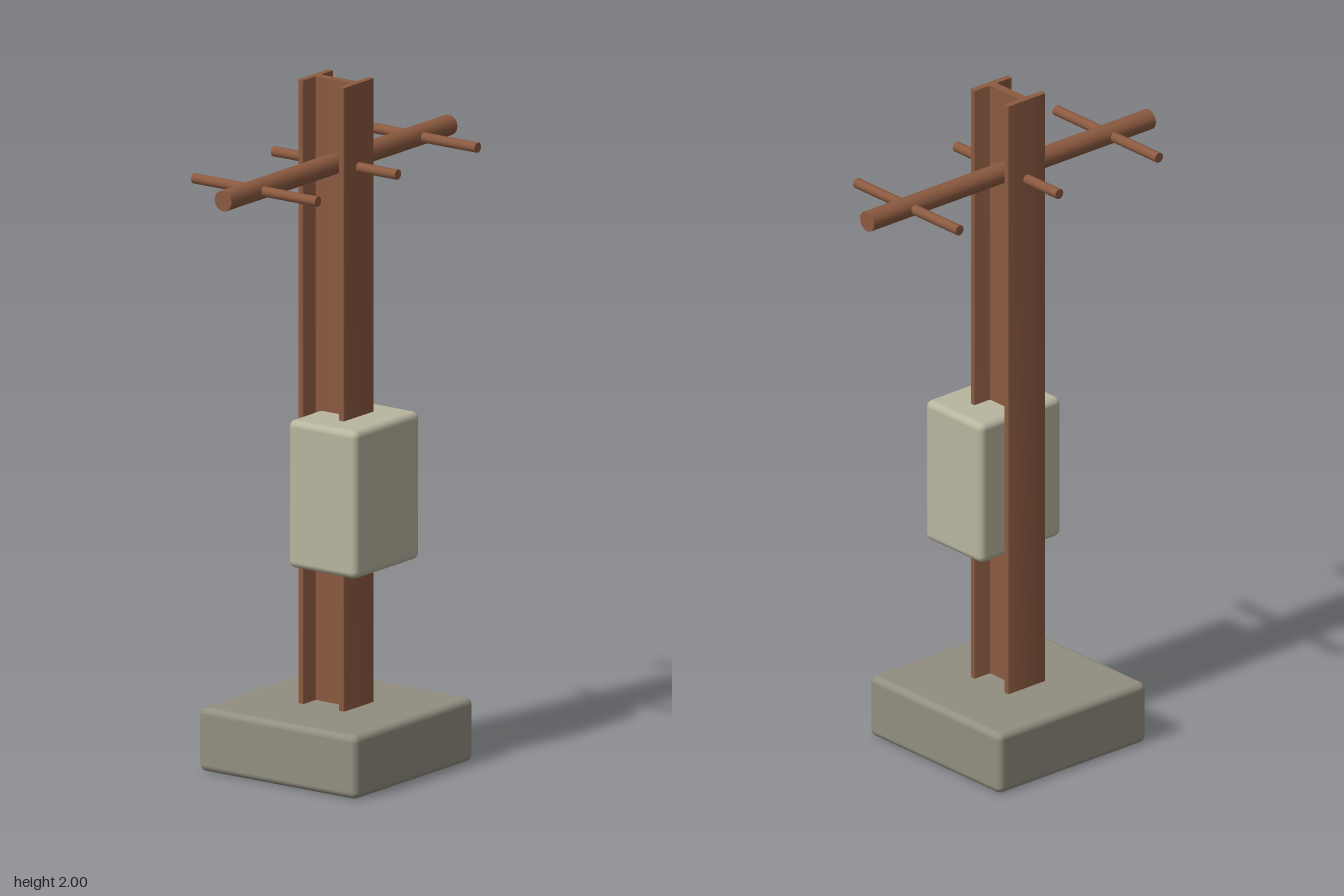
import * as THREE from 'three';
import { RoundedBoxGeometry } from 'three/addons/geometries/RoundedBoxGeometry.js';
import { toCreasedNormals } from 'three/addons/utils/BufferGeometryUtils.js';

const rust = new THREE.MeshStandardMaterial({ color: 0x8b5a40 });
const concrete = new THREE.MeshStandardMaterial({ color: 0x928e80 });
const cabinetPaint = new THREE.MeshStandardMaterial({ color: 0xb8b59f });

// I-beam outline with each corner softened by a small radius
function beamShape(halfWidth, halfDepth, flange, halfWeb, r) {
  const inner = halfDepth - flange;
  const quarter = [[halfWeb, inner], [halfWidth, inner], [halfWidth, halfDepth]];
  const mirrored = (sx, sy) => quarter.map(([x, y]) => new THREE.Vector2(x * sx, y * sy));
  const corners = [
    ...mirrored(1, 1), ...mirrored(-1, 1).reverse(),
    ...mirrored(-1, -1), ...mirrored(1, -1).reverse(),
  ];
  const shape = new THREE.Shape();
  corners.forEach((p, i) => {
    const prev = corners[(i + corners.length - 1) % corners.length];
    const next = corners[(i + 1) % corners.length];
    const a = p.clone().add(prev.clone().sub(p).setLength(r));
    const b = p.clone().add(next.clone().sub(p).setLength(r));
    if (i === 0) shape.moveTo(a.x, a.y);
    else shape.lineTo(a.x, a.y);
    shape.quadraticCurveTo(p.x, p.y, b.x, b.y);
  });
  shape.closePath();
  return shape;
}

export function createModel() {
  const model = new THREE.Group();
  model.name = 'utilityPost';

  const add = (name, geometry, material, x, y, z) => {
    const mesh = new THREE.Mesh(geometry, material);
    mesh.name = name;
    mesh.position.set(x, y, z);
    model.add(mesh);
    return mesh;
  };

  // Concrete footing
  add('footing', new RoundedBoxGeometry(0.556, 0.185, 0.556, 3, 0.02), concrete, 0, 0.0925, 0);

  // Upright I-beam, flanges facing front and back
  const beam = new THREE.ExtrudeGeometry(beamShape(0.071, 0.081, 0.019, 0.013, 0.006),
    { depth: 1.83, bevelEnabled: false, curveSegments: 4 });
  beam.rotateX(-Math.PI / 2);
  add('beam', toCreasedNormals(beam, 0.7), rust, 0, 0.17, 0);

  // Cabinet wrapped around the front flange
  add('cabinet', new RoundedBoxGeometry(0.306, 0.43, 0.242, 3, 0.02), cabinetPaint, 0, 0.815, 0.063);

  // Crossarm and the three pegs passing through it
  const armY = 1.755;
  const arm = add('crossarm', new THREE.CylinderGeometry(0.03, 0.03, 1.06, 16), rust, 0, armY, 0);
  arm.rotation.z = Math.PI / 2;
  for (const x of [-0.375, 0, 0.375]) {
    const peg = add('peg', new THREE.CylinderGeometry(0.015, 0.015, 0.436, 12), rust, x, armY, 0);
    peg.rotation.x = Math.PI / 2;
  }
  return model;
}
